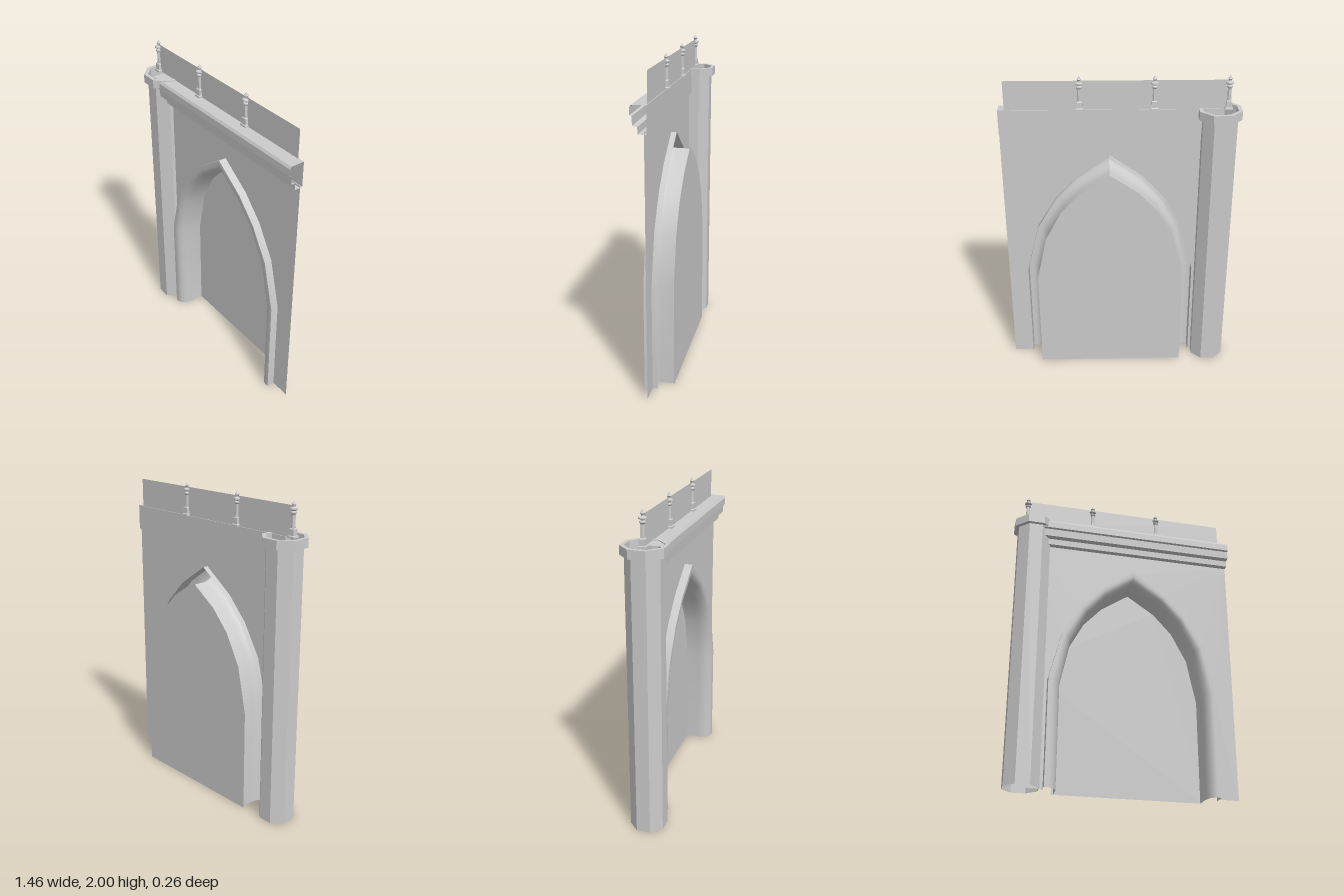
import * as THREE from 'three';
import { toCreasedNormals } from 'three/addons/utils/BufferGeometryUtils.js';

const mat = new THREE.MeshStandardMaterial({ color: 0xcccccc, side: THREE.DoubleSide });

function add(parent, name, geometry, x = 0, y = 0, z = 0) {
  const mesh = new THREE.Mesh(geometry, mat);
  mesh.name = name;
  mesh.position.set(x, y, z);
  parent.add(mesh);
  return mesh;
}

// Surface through rows of [x, y, z] points, all rows the same length
function loft(rows, crease = 0.6) {
  const n = rows[0].length, index = [];
  for (let i = 0; i < rows.length - 1; i++) {
    for (let j = 0; j < n - 1; j++) {
      const a = i * n + j, b = a + n;
      index.push(a, b, a + 1, b, b + 1, a + 1);
    }
  }
  const g = new THREE.BufferGeometry();
  g.setAttribute('position', new THREE.Float32BufferAttribute(rows.flat(2), 3));
  g.setIndex(index);
  return toCreasedNormals(g, crease);
}

// Lathe with few sides, one flat side facing the front
function faceted(points, sides) {
  const g = new THREE.LatheGeometry(points.map(([r, y]) =>
    new THREE.Vector2(r / Math.cos(Math.PI / sides), y)), sides);
  g.rotateY(Math.PI / sides);
  return toCreasedNormals(g, 0.3);
}

// Pointed arch: half-widths and heights of its inner and outer outline
const ARCH_X = 0.062;
const INNER = [[0.46, 0], [0.46, 0.66], [0.4, 0.95], [0.3, 1.14], [0.18, 1.27], [0, 1.39]];
const OUTER = [[0.54, 0], [0.54, 0.68], [0.46, 1.0], [0.34, 1.2], [0.205, 1.345], [0, 1.49]];

// Full outline from left foot to right foot; t = 0 inner, t = 1 outer
function archLine(t) {
  const half = INNER.map(([x, y], i) => [
    THREE.MathUtils.lerp(x, OUTER[i][0], t), THREE.MathUtils.lerp(y, OUTER[i][1], t)]);
  const left = half.map(([x, y]) => [ARCH_X - x, y]);
  const right = half.slice(0, -1).reverse().map(([x, y]) => [ARCH_X + x, y]);
  return [...left, ...right];
}

const toShape = (pts) => new THREE.Shape(pts.map(([x, y]) => new THREE.Vector2(x, y)));

function createFinial(x) {
  const finial = new THREE.Group();
  finial.name = 'finial';
  finial.position.set(x, 1.79, 0.01);
  // Square pedestal with a tapered top
  add(finial, 'finialBase', faceted(
    [[0, 0], [0.023, 0], [0.023, 0.01], [0.018, 0.014], [0.017, 0.05], [0.011, 0.056]], 4));
  // Shaft, collars and pointed tip
  add(finial, 'finialShaft', faceted([
    [0.012, 0.05], [0.011, 0.13], [0.017, 0.138], [0.017, 0.144], [0.009, 0.15],
    [0.022, 0.158], [0.022, 0.166], [0.008, 0.173], [0.008, 0.18],
    [0.013, 0.188], [0.006, 0.198], [0, 0.21]], 8));
  return finial;
}

export function createModel() {
  const model = new THREE.Group();
  model.name = 'archedWall';

  // Octagonal corner tower, open at both ends, with a ring cap
  add(model, 'tower', faceted([[0.105, 0], [0.105, 1.74]], 8), -0.605);
  add(model, 'towerCap', faceted([[0.105, 1.74], [0.128, 1.74], [0.128, 1.795],
    [0.105, 1.795], [0.105, 1.74]], 8), -0.605);

  // Thin wall cut by the arch
  add(model, 'wall', new THREE.ShapeGeometry(toShape([
    [-0.605, 0], ...archLine(1), [0.73, 0], [0.73, 1.64], [-0.605, 1.64]])), 0, 0, 0.02);

  // Arch moulding: side, front fillet, hollow and deep reveal, as [t, z]
  const profile = [[1, -0.015], [1, 0.07], [0.7, 0.07]];
  for (let i = 1; i <= 6; i++) {
    const a = (i / 6) * Math.PI / 2;
    profile.push([0.7 * (1 - Math.sin(a)), -0.015 + 0.085 * Math.cos(a)]);
  }
  profile.push([0, -0.1]);
  add(model, 'archMoulding', loft(profile.map(([t, z]) =>
    archLine(t).map(([x, y]) => [x, y, z])), 0.5));

  // Back panel closing the arch
  add(model, 'archPanel', new THREE.ShapeGeometry(toShape(archLine(0.15))), 0, 0, -0.1);

  // Stepped cornice along the top of the wall, as [z, y]
  const cornice = [[0.02, 1.63], [0.055, 1.63], [0.057, 1.67], [0.085, 1.677], [0.088, 1.727],
    [0.1, 1.733], [0.1, 1.775], [0.09, 1.79], [0.005, 1.79], [0.005, 1.63], [0.02, 1.63]];
  add(model, 'cornice', loft(cornice.map(([z, y]) =>
    [[-0.605, y, z], [0.73, y, z]]), 0.2));

  // Thin parapet sheet and the finials standing along it
  add(model, 'parapet', new THREE.PlaneGeometry(1.345, 0.18), 0.0175, 1.88, 0.01);
  for (const x of [-0.655, -0.21, 0.238]) model.add(createFinial(x));

  return model;
}
